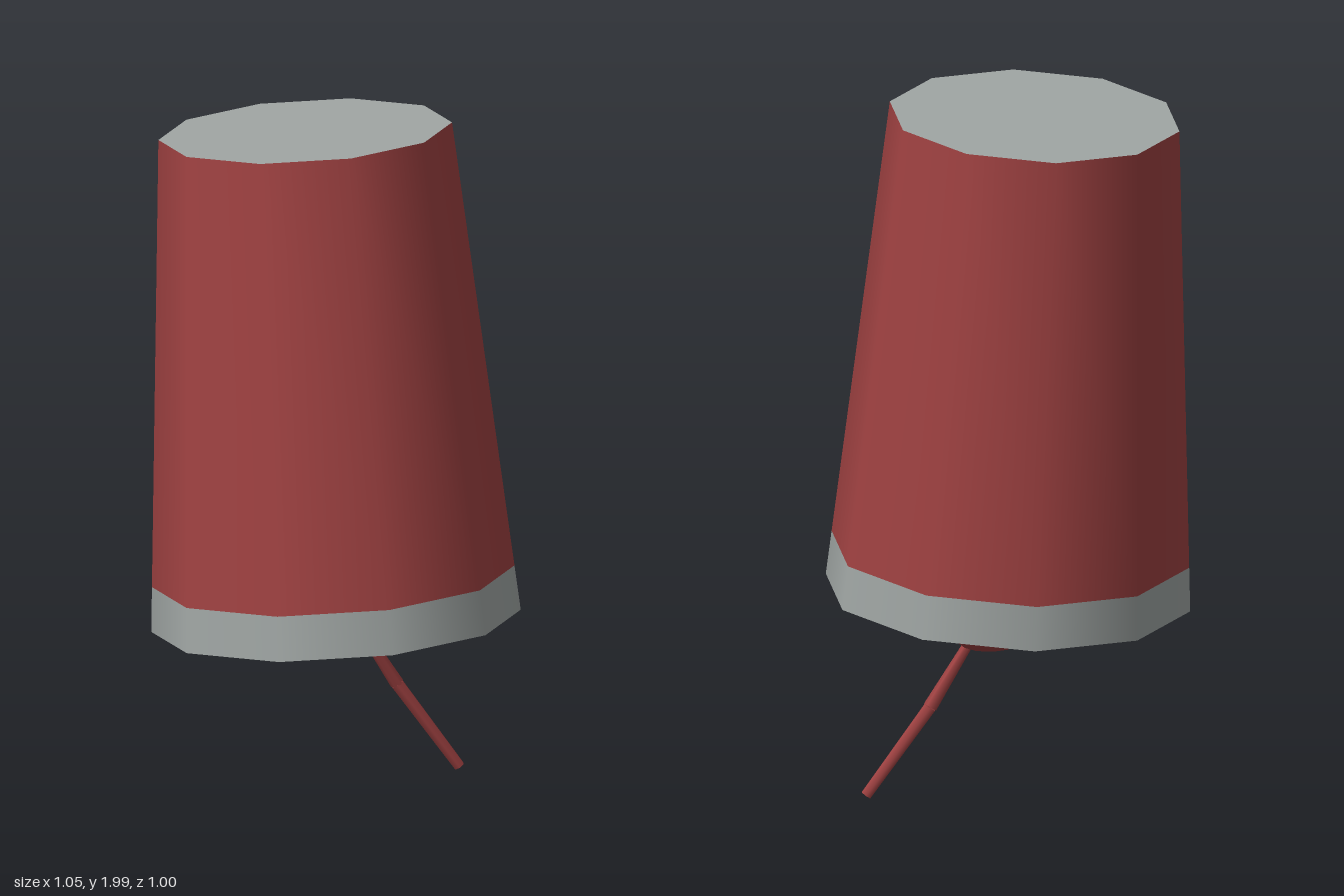
import * as THREE from 'three';

export function createModel() {
  const red = new THREE.MeshStandardMaterial({ color: 0xa04242 });
  red.name = 'red';
  const grey = new THREE.MeshStandardMaterial({ color: 0xa0a6a4 });
  grey.name = 'grey';

  const model = new THREE.Group();
  model.name = 'bell';

  // Ten-sided bell, leaning slightly towards -x
  const body = new THREE.Group();
  body.name = 'bellBody';
  body.position.set(0, 0.545, 0);
  body.rotation.z = 0.0757;
  model.add(body);

  // Each ring is one straight run of the profile, so the edges between runs stay sharp
  const ring = (name, material, r0, y0, r1, y1) => {
    const profile = [new THREE.Vector2(r0, y0), new THREE.Vector2(r1, y1)];
    const mesh = new THREE.Mesh(new THREE.LatheGeometry(profile, 10, Math.PI / 2), material);
    mesh.name = name;
    body.add(mesh);
  };
  const outer = 0.5265, inner = 0.48, top = 0.4185;
  const height = 1.429, band = 0.13, ceiling = 0.25;
  const radiusAt = (r, y) => r + (top - outer) * y / height;
  ring('ceiling', red, 0, ceiling, radiusAt(inner, ceiling), ceiling);
  ring('innerWall', red, radiusAt(inner, ceiling), ceiling, radiusAt(inner, band), band);
  ring('innerBand', grey, radiusAt(inner, band), band, inner, 0);
  ring('rim', grey, inner, 0, outer, 0);
  ring('outerBand', grey, outer, 0, radiusAt(outer, band), band);
  ring('outerWall', red, radiusAt(outer, band), band, top, height);
  ring('topPlate', grey, top, height, 0, height);

  // Clapper ball hanging in the mouth
  const ball = new THREE.Mesh(new THREE.SphereGeometry(0.175, 10, 7), red);
  ball.name = 'clapperBall';
  ball.position.set(-0.11, 0.605, -0.185);
  model.add(ball);

  // Bent tail below the ball
  const path = [[-0.1, 0.52, -0.2], [-0.035, 0.28, -0.345], [0.08, 0.025, -0.487]]
    .map(p => new THREE.Vector3(...p));
  const radii = [0.012, 0.02, 0.017];
  for (let i = 0; i < 2; i++) {
    const dir = path[i + 1].clone().sub(path[i]);
    const rod = new THREE.Mesh(
      new THREE.CylinderGeometry(radii[i + 1], radii[i], dir.length(), 6), red);
    rod.name = i ? 'tailLower' : 'tailUpper';
    rod.position.copy(path[i]).addScaledVector(dir, 0.5);
    rod.quaternion.setFromUnitVectors(new THREE.Vector3(0, 1, 0), dir.normalize());
    model.add(rod);
  }
  return model;
}
